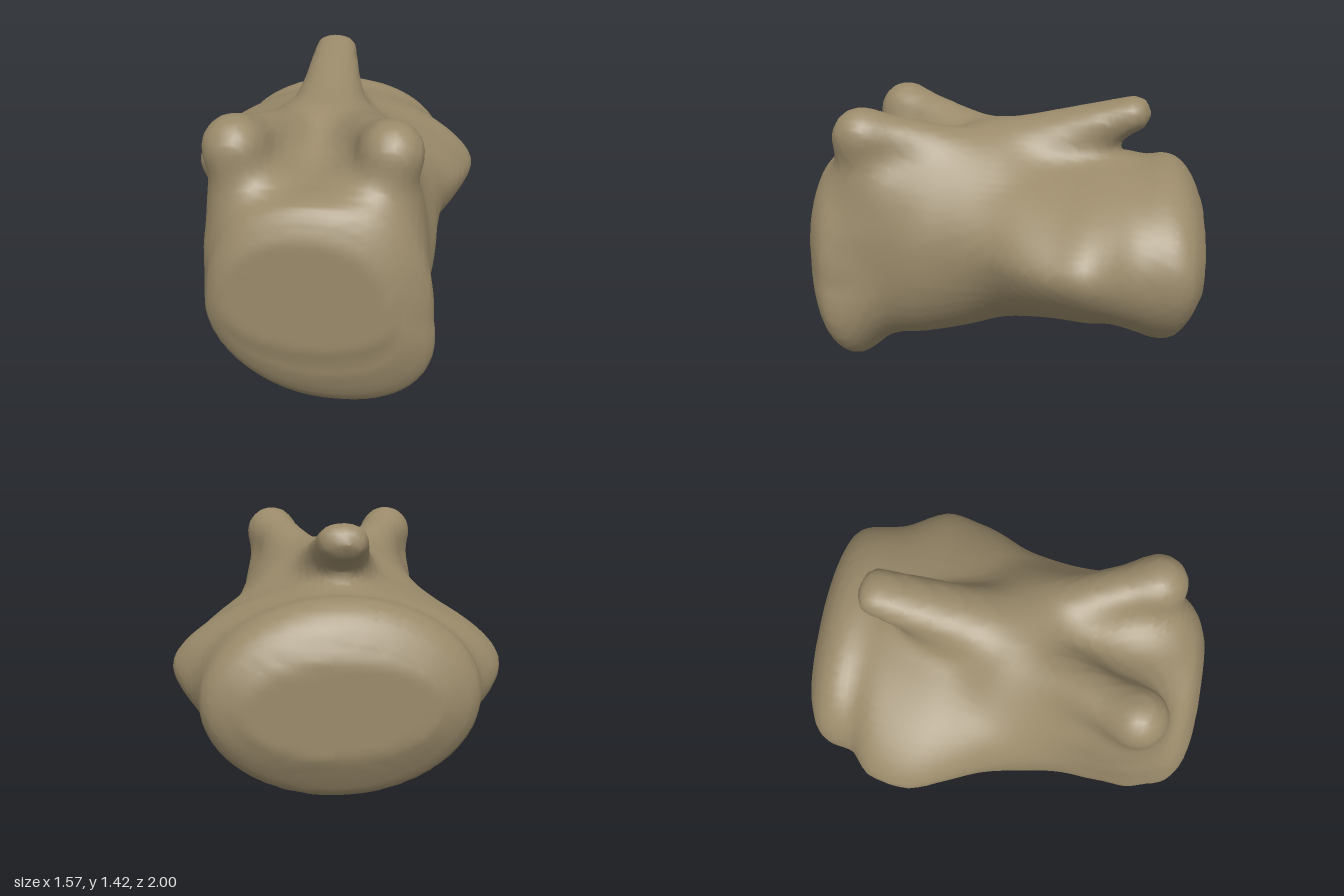
import * as THREE from 'three';

// Body sections along z: z, reach to -x, reach to +x, bottom, top, height of widest point, roundness
const SECTIONS = [
  [-0.98, 0.42, 0.42, 0.46, 0.88, 0.68, 2.0],
  [-0.93, 0.55, 0.55, 0.35, 1.00, 0.68, 2.0],
  [-0.87, 0.61, 0.60, 0.25, 1.08, 0.68, 2.0],
  [-0.78, 0.63, 0.62, 0.22, 1.12, 0.68, 2.0],
  [-0.68, 0.65, 0.66, 0.26, 1.11, 0.69, 1.9],
  [-0.57, 0.75, 0.74, 0.29, 1.12, 0.72, 1.75],
  [-0.48, 0.78, 0.78, 0.27, 1.13, 0.74, 1.65],
  [-0.33, 0.785, 0.76, 0.26, 1.14, 0.74, 1.6],
  [-0.18, 0.72, 0.71, 0.25, 1.15, 0.75, 1.65],
  [0.00, 0.63, 0.62, 0.22, 1.17, 0.75, 1.8],
  [0.20, 0.56, 0.58, 0.17, 1.16, 0.70, 2.1],
  [0.40, 0.51, 0.565, 0.13, 1.13, 0.65, 2.3],
  [0.62, 0.50, 0.53, 0.09, 1.10, 0.55, 2.4],
  [0.76, 0.50, 0.55, 0.00, 1.10, 0.50, 2.3],
  [0.86, 0.47, 0.55, 0.05, 1.10, 0.52, 2.2],
  [0.94, 0.445, 0.47, 0.18, 1.07, 0.55, 2.2],
  [1.00, 0.38, 0.37, 0.40, 0.96, 0.62, 2.2],
];
const Z_BACK = -0.98, Z_FRONT = 1;
const sectionCurve = new THREE.CubicInterpolant(
  SECTIONS.map((s) => s[0]), SECTIONS.flatMap((s) => s.slice(1)), 6);

// Tapered capsule from a (radius ra) to b (radius rb)
const capsule = (a, ra, b, rb) => {
  const start = new THREE.Vector3(...a);
  const span = new THREE.Vector3(...b).sub(start);
  return { start, span, ra, rb, lengthSq: span.lengthSq() };
};

// Mirrored ridges blended into the body
const RIDGES = [-1, 1].flatMap((s) => [
  // front knob, running back to the middle
  capsule([0.34 * s, 1.25, 0.67], 0.12, [0.12 * s, 1.09, 0.12], 0.14),
  // post under the knob
  capsule([0.34 * s, 1.22, 0.69], 0.12, [0.26 * s, 0.85, 0.67], 0.2),
  // shoulder under the ridge
  capsule([0.27 * s, 0.99, 0.58], 0.19, [0.14 * s, 0.99, 0.1], 0.2),
  // half of the flattened back spine
  capsule([0.04 * s, 1.08, 0.1], 0.16, [0.045 * s - 0.02, 1.335, -0.61], 0.072),
]);

const offset = new THREE.Vector3();
function capsuleDistance(p, { start, span, ra, rb, lengthSq }) {
  offset.copy(p).sub(start);
  const t = THREE.MathUtils.clamp(offset.dot(span) / lengthSq, 0, 1);
  return offset.addScaledVector(span, -t).length() - THREE.MathUtils.lerp(ra, rb, t);
}

function smoothMin(a, b, k) {
  const h = Math.max(k - Math.abs(a - b), 0) / k;
  return Math.min(a, b) - h * h * k * 0.25;
}

// Superellipse body, cut by a flat front and a slanted back
function bodyLevel(x, y, pz) {
  const z = pz + 0.06 * THREE.MathUtils.smoothstep(-pz, 0.6, 0.9) * x;
  const [left, right, bottom, top, mid, power] =
    sectionCurve.evaluate(THREE.MathUtils.clamp(z, Z_BACK, Z_FRONT));
  const dy = y - mid;
  // the lower front leans toward +x
  const lean = 0.2 * Math.max(0, -dy) * THREE.MathUtils.smoothstep(z, 0.5, 0.8);
  const dx = x - (right - left) / 2 - lean;
  const halfW = (left + right) / 2, halfH = dy > 0 ? top - mid : mid - bottom;
  const g = Math.pow(
    Math.pow(Math.abs(dx) / halfW, power) + Math.pow(Math.abs(dy) / halfH, power), 1 / power);
  const radial = Math.hypot(dx, dy) * (1 - 1 / Math.max(g, 1e-4));
  return Math.max(radial, z - Z_FRONT, Z_BACK - z);
}

// Level divided by its slope, so that it measures true distance near the surface
function bodyDistance({ x, y, z }) {
  const e = 0.004, level = bodyLevel(x, y, z);
  const slope = Math.hypot(
    bodyLevel(x + e, y, z) - level, bodyLevel(x, y + e, z) - level, bodyLevel(x, y, z + e) - level) / e;
  return level / Math.max(1, slope);
}

function boneDistance(p) {
  const ridges = RIDGES.reduce((d, ridge) => smoothMin(d, capsuleDistance(p, ridge), 0.1), 10);
  return smoothMin(bodyDistance(p), ridges, 0.16);
}

// Smooth skin over a distance function: one vertex per crossed cell, one quad per crossed edge
function skinGeometry(distance, min, max, step) {
  const size = max.map((m, k) => Math.ceil((m - min[k]) / step) + 1);
  const stride = [1, size[0], size[0] * size[1]];
  const values = new Float32Array(size[0] * size[1] * size[2]);
  const cells = new Int32Array(values.length).fill(-1);
  const p = new THREE.Vector3();
  const forEachNode = (visit) => {
    for (let k = 0; k < size[2]; k++)
      for (let j = 0; j < size[1]; j++)
        for (let i = 0; i < size[0]; i++) visit([i, j, k], i + j * stride[1] + k * stride[2]);
  };
  forEachNode((n, id) => {
    values[id] = distance(p.set(...n.map((v, k) => min[k] + v * step)));
  });

  // Vertices: mean of the crossings on the cell's twelve edges
  const points = [], index = [];
  forEachNode((n, id) => {
    if (n.some((v, k) => v === size[k] - 1)) return;
    const sum = [0, 0, 0];
    let count = 0;
    for (let corner = 0; corner < 8; corner++) {
      const bits = [corner & 1, (corner >> 1) & 1, corner >> 2];
      const from = id + bits[0] + bits[1] * stride[1] + bits[2] * stride[2];
      for (let axis = 0; axis < 3; axis++) {
        if (bits[axis]) continue;
        const a = values[from], b = values[from + stride[axis]];
        if (a < 0 === b < 0) continue;
        for (let k = 0; k < 3; k++) sum[k] += bits[k] + (k === axis ? a / (a - b) : 0);
        count++;
      }
    }
    if (!count) return;
    cells[id] = points.length / 3;
    points.push(...sum.map((v, k) => min[k] + (n[k] + v / count) * step));
  });

  // Faces: join the four cells around each crossed edge
  forEachNode((n, id) => {
    if (n.some((v, k) => v === 0 || v === size[k] - 1)) return;
    for (let axis = 0; axis < 3; axis++) {
      const inside = values[id] < 0;
      if (inside === values[id + stride[axis]] < 0) continue;
      const u = stride[(axis + 1) % 3], v = stride[(axis + 2) % 3];
      const [a, b, c, d] = [id - u - v, id - v, id, id - u].map((cell) => cells[cell]);
      if (inside) index.push(a, b, c, a, c, d);
      else index.push(a, c, b, a, d, c);
    }
  });
  const geometry = new THREE.BufferGeometry();
  geometry.setAttribute('position', new THREE.Float32BufferAttribute(points, 3));
  geometry.setIndex(index);
  geometry.computeVertexNormals();
  return geometry;
}

export function createModel() {
  const bone = new THREE.MeshStandardMaterial({ color: 0x9a8a6a });
  bone.name = 'bone';

  const vertebra = new THREE.Mesh(
    skinGeometry(boneDistance, [-0.91, -0.11, -1.11], [0.91, 1.55, 1.11], 0.032), bone);
  vertebra.name = 'vertebra';

  const model = new THREE.Group();
  model.name = 'spineBone';
  model.add(vertebra);
  return model;
}
